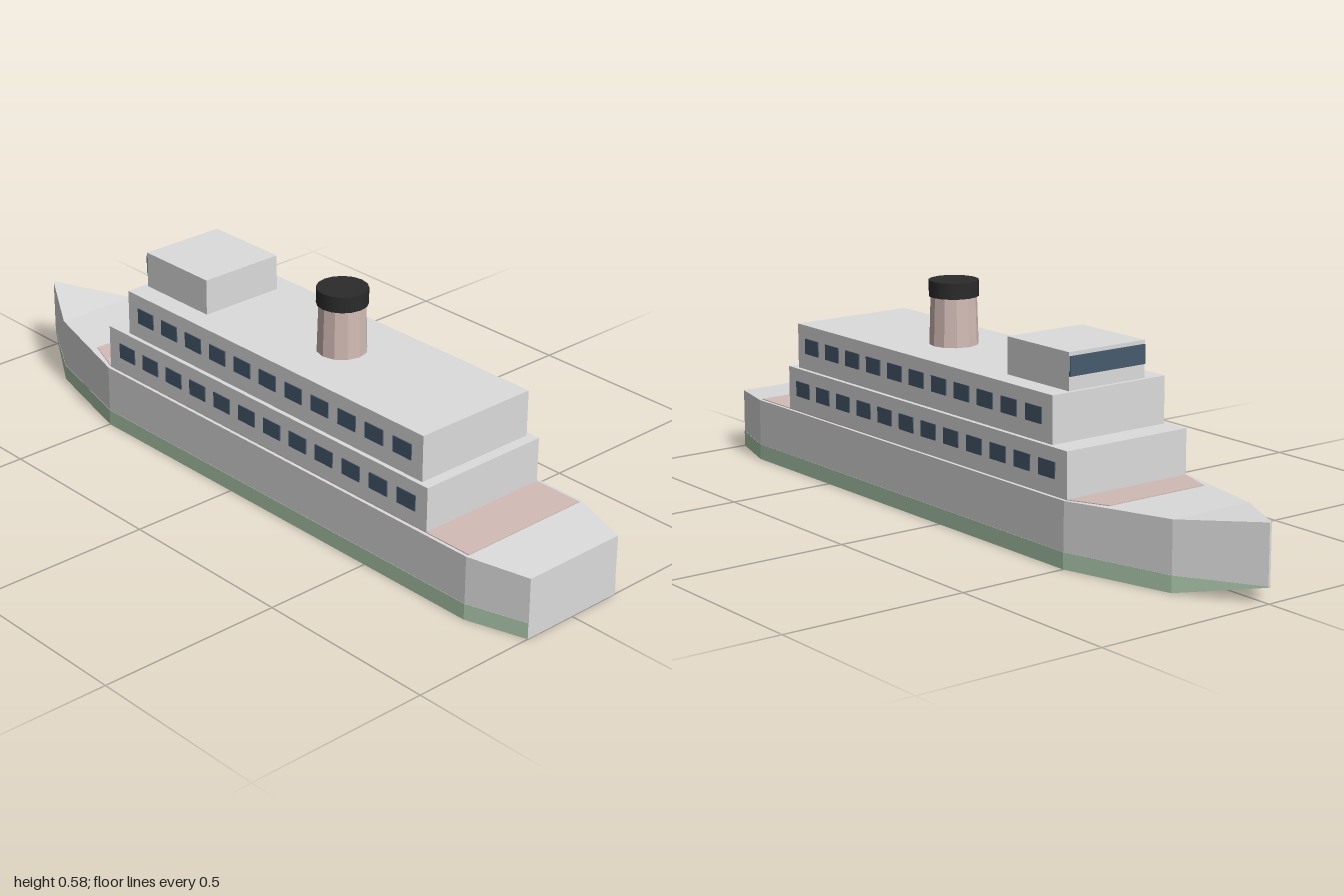
import * as THREE from 'three';

const paint = (name, color) => {
  const m = new THREE.MeshStandardMaterial({ color });
  m.name = name;
  return m;
};

// Box-section loft from stern to bow; each section is [z, halfWidth, bottom, top].
// Group 0 is the shell, group 1 the stern face.
function loft(sections) {
  const pos = [];
  const rings = sections.map(([z, w, b, t]) => [[-w, b, z], [w, b, z], [w, t, z], [-w, t, z]]);
  const quad = (a, b, c, d) => pos.push(...a, ...b, ...c, ...a, ...c, ...d);
  for (let i = 0; i < rings.length - 1; i++) {
    for (let j = 0; j < 4; j++) {
      const k = (j + 1) % 4;
      quad(rings[i][j], rings[i + 1][j], rings[i + 1][k], rings[i][k]);
    }
  }
  const [b0, b1, b2, b3] = rings[rings.length - 1];
  quad(b3, b2, b1, b0);
  const shell = pos.length / 3;
  quad(...rings[0]);
  const g = new THREE.BufferGeometry();
  g.setAttribute('position', new THREE.Float32BufferAttribute(pos, 3));
  g.addGroup(0, shell, 0);
  g.addGroup(shell, 6, 1);
  g.computeVertexNormals();
  return g;
}

export function createModel() {
  const ship = new THREE.Group();
  ship.name = 'passengerShip';
  const white = paint('hullWhite', 0xdcdcdc);
  const green = paint('keelGreen', 0xb0ccb0);
  const pink = paint('palePink', 0xd2bcb6);
  const black = paint('funnelBlack', 0x2b2b2b);
  const glass = paint('windowBlue', 0x465a6e);

  const add = (name, geometry, material, x = 0, y = 0, z = 0, parent = ship) => {
    const mesh = new THREE.Mesh(geometry, material);
    mesh.name = name;
    mesh.position.set(x, y, z);
    parent.add(mesh);
    return mesh;
  };
  // Box from its half width and its y and z ranges
  const block = (name, w, y0, y1, z0, z1, material) =>
    add(name, new THREE.BoxGeometry(2 * w, y1 - y0, z1 - z0), material, 0, (y0 + y1) / 2, (z0 + z1) / 2);

  // Hull: white topsides over a green waterline band with a white transom
  const line = 0.043;
  const stations = [
    [1, 0.15, 0, 0.162], [0.84, 0.199, 0, 0.17], [-0.5, 0.199, 0, 0.17],
    [-0.8, 0.12, 0, 0.178], [-1, 0.003, 0.04, 0.195],
  ];
  add('hull', loft(stations.map(([z, w, , t]) => [z, w, line, t])), [white, white]);
  add('waterlineBand', loft(stations.map(([z, w, b]) => [z, w + 0.001, b, line])), [green, white]);

  // Thin deck planking, showing fore and aft of the cabins
  add('deck', loft([
    [0.84, 0.19, 0.166, 0.172], [-0.5, 0.19, 0.166, 0.172], [-0.61, 0.15, 0.168, 0.175],
  ]), [pink, pink]);

  // Superstructure
  block('lowerCabins', 0.19, 0.168, 0.29, -0.5, 0.7, white);
  block('upperCabins', 0.178, 0.29, 0.412, -0.43, 0.67, white);
  block('bridge', 0.12, 0.412, 0.508, -0.42, -0.18, white);
  block('bridgeWindow', 0.119, 0.448, 0.498, -0.424, -0.418, glass);

  // Window rows on both sides
  const pane = new THREE.BoxGeometry(0.006, 0.042, 0.062);
  const rows = [
    { name: 'lowerWindows', x: 0.19, y: 0.234, z: 0.631, count: 12 },
    { name: 'upperWindows', x: 0.178, y: 0.355, z: 0.602, count: 11 },
  ];
  for (const row of rows) {
    const group = new THREE.Group();
    group.name = row.name;
    ship.add(group);
    for (const side of [-1, 1]) {
      for (let i = 0; i < row.count; i++) {
        add('window', pane, glass, side * row.x, row.y, row.z - i * 0.096, group);
      }
    }
  }

  // Funnel with black cap
  const stack = new THREE.CylinderGeometry(0.061, 0.065, 0.13, 12).toNonIndexed();
  stack.computeVertexNormals();
  add('funnel', stack, pink, 0, 0.477, 0.2);
  add('funnelCap', new THREE.CylinderGeometry(0.066, 0.066, 0.042, 16), black, 0, 0.561, 0.2);

  return ship;
}
